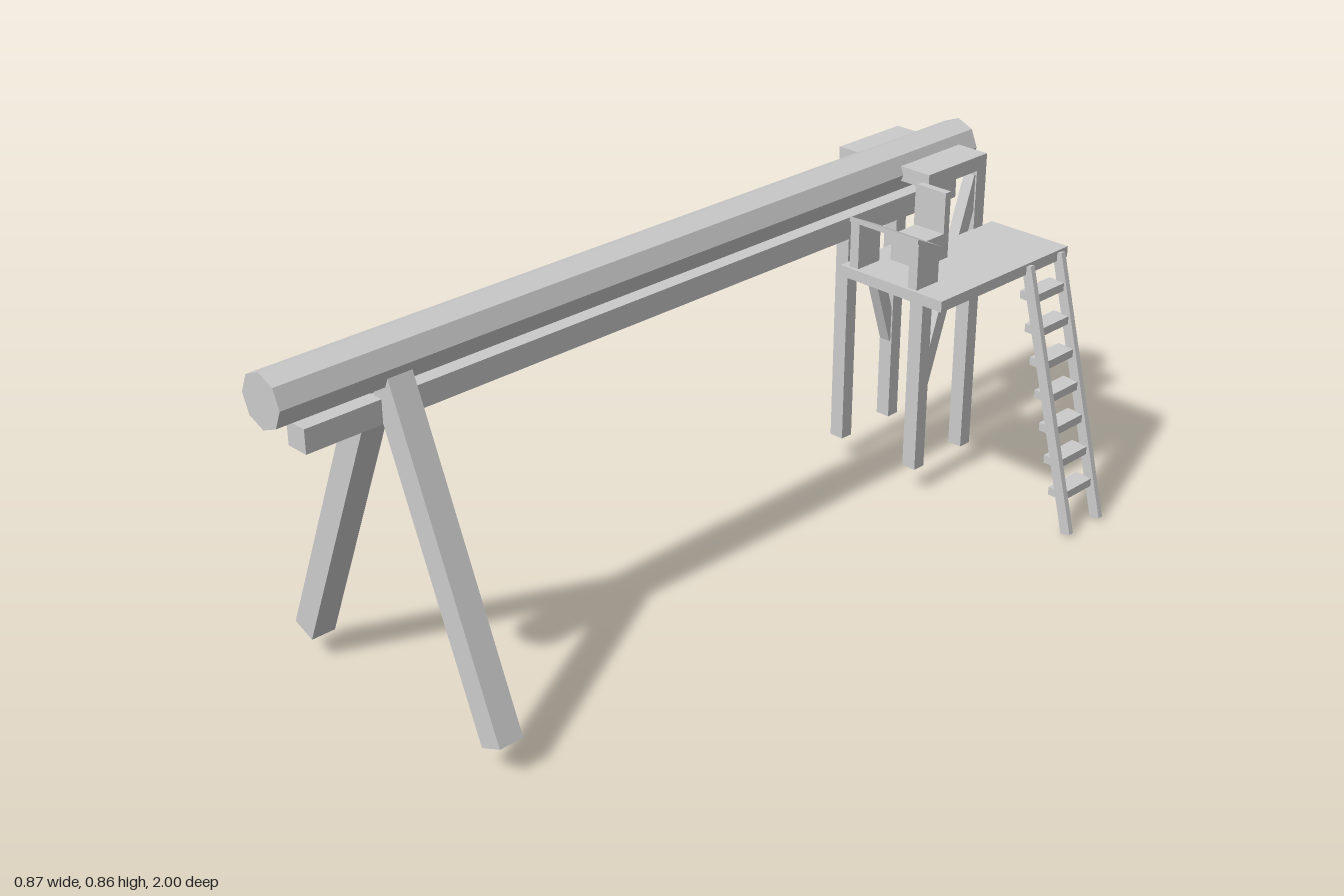
import * as THREE from 'three';

const material = new THREE.MeshStandardMaterial({ color: 0xcccccc, flatShading: true });

function add(parent, name, geometry) {
  const mesh = new THREE.Mesh(geometry, material);
  mesh.name = name;
  parent.add(mesh);
  return mesh;
}

// Box given by its extents on each axis
function block(parent, name, [x0, x1], [y0, y1], [z0, z1]) {
  const mesh = add(parent, name, new THREE.BoxGeometry(x1 - x0, y1 - y0, z1 - z0));
  mesh.position.set((x0 + x1) / 2, (y0 + y1) / 2, (z0 + z1) / 2);
  return mesh;
}

// Square-ended beam between two points
function beam(parent, name, from, to, width, depth) {
  const a = new THREE.Vector3(...from), b = new THREE.Vector3(...to);
  const dir = b.clone().sub(a);
  const mesh = add(parent, name, new THREE.BoxGeometry(width, dir.length(), depth));
  mesh.position.copy(a).add(b).multiplyScalar(0.5);
  mesh.quaternion.setFromUnitVectors(new THREE.Vector3(0, 1, 0), dir.normalize());
  return mesh;
}

// Side profile of [z, y] points, extruded along x
function sideProfile(parent, name, points, x0, x1) {
  const shape = new THREE.Shape(points.map(([z, y]) => new THREE.Vector2(-z, y)));
  const geometry = new THREE.ExtrudeGeometry(shape, { depth: x1 - x0, bevelEnabled: false });
  geometry.rotateY(Math.PI / 2);
  const mesh = add(parent, name, geometry);
  mesh.position.x = x0;
  return mesh;
}

function group(parent, name) {
  const g = new THREE.Group();
  g.name = name;
  parent.add(g);
  return g;
}

export function createModel() {
  const model = new THREE.Group();
  model.name = 'largeTubeOnStand';
  const axisX = -0.1;

  // Octagonal main tube and the square rail below it
  const tube = add(model, 'mainTube', new THREE.CylinderGeometry(0.059, 0.059, 2, 8).rotateX(Math.PI / 2));
  tube.position.set(axisX, 0.8, 0);
  block(model, 'lowerRail', [-0.128, -0.073], [0.675, 0.728], [-0.97, 0.93]);

  // Splayed front legs
  const frontLegs = group(model, 'frontLegs');
  for (const side of [-1, 1]) {
    beam(frontLegs, 'frontLeg', [axisX + side * 0.307, 0.065, 0.72], [axisX + side * 0.02, 0.774, 0.72], 0.06, 0.06);
  }

  // Rear trestle: four posts, top plate and opposing diagonal braces
  const trestle = group(model, 'rearTrestle');
  block(trestle, 'topPlate', [-0.237, 0.035], [0.785, 0.82], [-0.942, -0.733]);
  for (const side of [-1, 1]) {
    const x = axisX - 0.001 + side * 0.117;
    for (const z of [-0.75, -0.925]) {
      block(trestle, 'post', [x - 0.019, x + 0.019], [0.065, 0.786], [z - 0.017, z + 0.017]);
    }
    const zMid = -0.8375, dz = side * 0.082;
    beam(trestle, 'diagonalBrace', [x, 0.28, zMid + dz], [x, 0.77, zMid - dz], 0.03, 0.032);
  }

  // L-shaped platform beside the tube
  const floor = new THREE.Shape([
    [0.033, 0.98], [0.255, 0.98], [0.255, 0.524], [-0.04, 0.524], [-0.04, 0.735], [0.033, 0.735],
  ].map(([x, y]) => new THREE.Vector2(x, y)));
  const platform = add(model, 'platform',
    new THREE.ExtrudeGeometry(floor, { depth: 0.026, bevelEnabled: false }).rotateX(-Math.PI / 2));
  platform.position.y = 0.614;

  // Seat with an upright back
  const seat = group(model, 'seat');
  block(seat, 'seatBase', [0.019, 0.102], [0.64, 0.702], [-0.73, -0.628]);
  block(seat, 'seatBack', [0.019, 0.102], [0.702, 0.8], [-0.73, -0.712]);

  // Sloping desk on two side panels
  const desk = group(model, 'desk');
  sideProfile(desk, 'deskTop', [[-0.528, 0.762], [-0.528, 0.75], [-0.617, 0.708], [-0.617, 0.72]], -0.021, 0.178);
  for (const x of [-0.02, 0.152]) {
    sideProfile(desk, 'deskSide', [[-0.532, 0.64], [-0.532, 0.75], [-0.605, 0.715], [-0.605, 0.64]], x, x + 0.025);
  }

  // Leaning ladder with flat treads
  const ladder = group(model, 'ladder');
  for (const z of [-0.833, -0.948]) {
    beam(ladder, 'ladderRail', [0.421, 0.0035, z], [0.254, 0.634, z], 0.026, 0.014);
  }
  for (let i = 0; i < 7; i++) {
    const x = 0.235 + i * 0.0203, y = 0.557 - i * 0.0775;
    block(ladder, 'ladderTread', [x, x + 0.045], [y - 0.01, y + 0.01], [-0.945, -0.836]);
  }

  return model;
}
